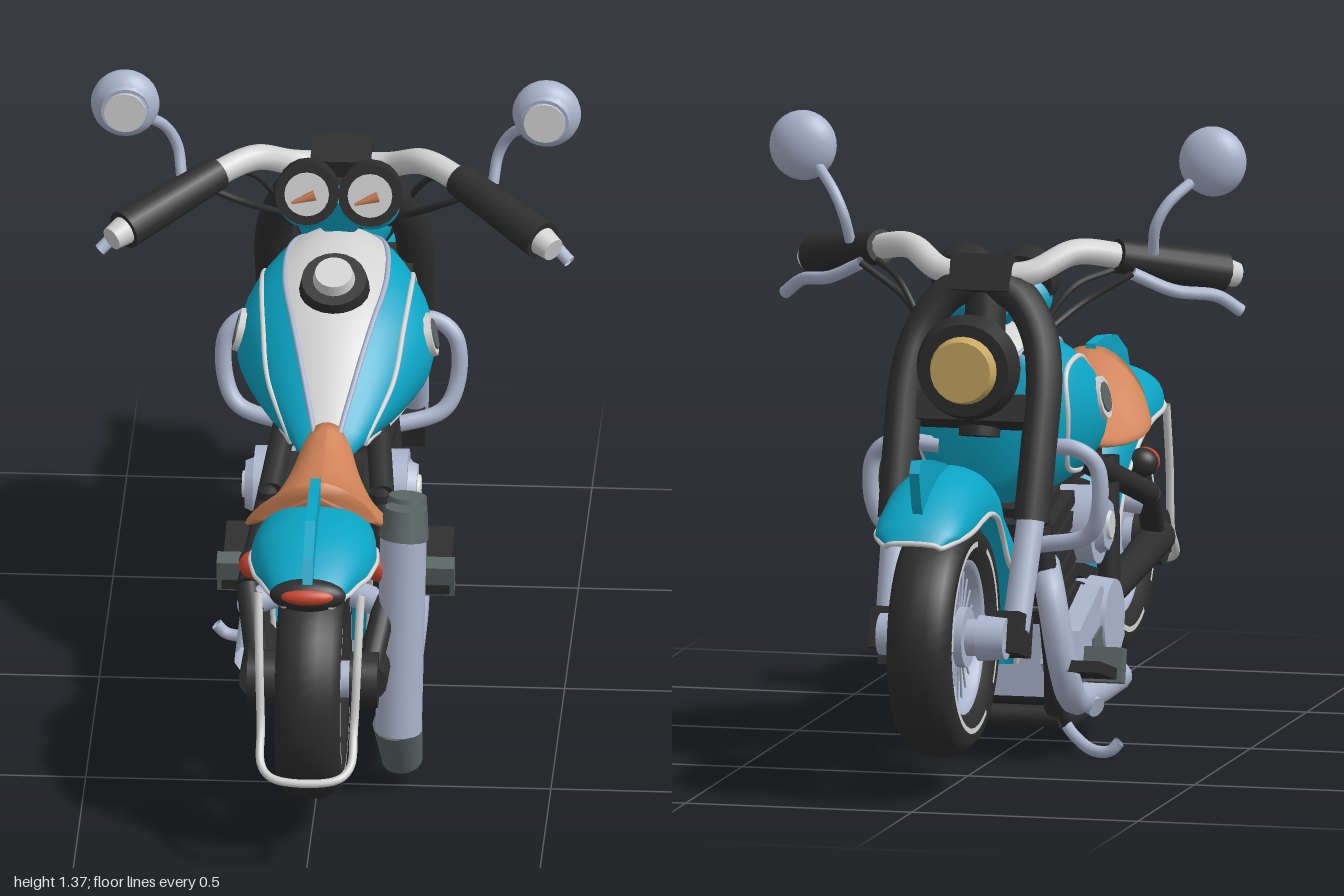
import * as THREE from 'three';

const V = (x, y, z) => new THREE.Vector3(x, y, z);

export function createModel() {
  const root = new THREE.Group();
  root.name = 'motorcycle';
  const mat = (name, color) => {
    const m = new THREE.MeshStandardMaterial({ color, side: THREE.DoubleSide });
    m.name = name;
    return m;
  };
  const teal = mat('teal paint', 0x0ba4c4), black = mat('black', 0x2e2e2e), silver = mat('silver', 0xaab4cc),
    white = mat('light grey', 0xd2d2d2), leather = mat('tan leather', 0xcf8257), grey = mat('dark grey', 0x5a6664),
    red = mat('red', 0xc8442e), amber = mat('yellow lens', 0xc8a862);

  // ---- helpers ----
  const add = (name, geo, m, parent = root) => {
    const mesh = new THREE.Mesh(geo, m);
    mesh.name = name;
    parent.add(mesh);
    return mesh;
  };
  const rod = (name, m, a, b, r0, r1 = r0, sides = 16) => {
    const d = b.clone().sub(a);
    const mesh = add(name, new THREE.CylinderGeometry(r1, r0, d.length(), sides), m);
    mesh.position.copy(a).addScaledVector(d, 0.5);
    mesh.quaternion.setFromUnitVectors(V(0, 1, 0), d.normalize());
    return mesh;
  };
  const tube = (name, m, pts, r, closed = false) => {
    const c = new THREE.CatmullRomCurve3(pts.map(p => (p.isVector3 ? p : V(...p))), closed, 'centripetal');
    return add(name, new THREE.TubeGeometry(c, pts.length * 8, r, 10, closed), m);
  };
  const box = (name, m, size, pos, rx = 0) => {
    const mesh = add(name, new THREE.BoxGeometry(...size), m);
    mesh.position.set(...pos);
    mesh.rotation.x = rx;
    return mesh;
  };
  const ball = (name, m, pos, size) => {
    const mesh = add(name, new THREE.SphereGeometry(1, 24, 16), m);
    mesh.position.set(...pos);
    mesh.scale.set(...size);
    return mesh;
  };
  // Plate drawn in the (z, y) plane and given thickness along x
  const sidePlate = (name, m, pts, x, depth) => {
    const g = new THREE.ExtrudeGeometry(new THREE.Shape(pts.map(p => new THREE.Vector2(...p))), { depth, bevelEnabled: false });
    return add(name, g.translate(0, 0, -depth / 2).rotateY(-Math.PI / 2).translate(x, 0, 0), m);
  };
  // Grid surface from a rule f(u, v)
  const surface = (name, m, f, nu, nv) => {
    const pos = [], idx = [];
    for (let i = 0; i <= nu; i++) for (let j = 0; j <= nv; j++) pos.push(...f(i / nu, j / nv).toArray());
    for (let i = 0; i < nu; i++) for (let j = 0; j < nv; j++) {
      const a = i * (nv + 1) + j, b = a + nv + 1;
      idx.push(a, a + 1, b, a + 1, b + 1, b);
    }
    const g = new THREE.BufferGeometry();
    g.setAttribute('position', new THREE.Float32BufferAttribute(pos, 3));
    g.setIndex(idx);
    g.computeVertexNormals();
    return add(name, g, m);
  };
  const sides = [-1, 1];

  // ---- wheels ----
  const wheel = (name, z) => {
    const g = new THREE.Group();
    g.name = name;
    g.position.set(0, 0.335, z);
    root.add(g);
    const lathe = pts => new THREE.LatheGeometry(pts.map(p => new THREE.Vector2(...p)), 48).rotateZ(Math.PI / 2);
    add('tire', lathe([[0.165, -0.045], [0.19, -0.065], [0.225, -0.07], [0.247, -0.05], [0.258, -0.02], [0.258, 0.02],
      [0.247, 0.05], [0.225, 0.07], [0.19, 0.065], [0.165, 0.045]]), black, g);
    add('rim', lathe([[0.167, -0.05], [0.15, -0.045], [0.143, 0], [0.15, 0.045], [0.167, 0.05]]), silver, g);
    add('hub', new THREE.CylinderGeometry(0.04, 0.04, 0.17, 20).rotateZ(Math.PI / 2), silver, g);
    for (const s of sides) {
      add('hubFlange', new THREE.CylinderGeometry(0.065, 0.065, 0.02, 24).rotateZ(Math.PI / 2).translate(s * 0.045, 0, 0), silver, g);
      for (let k = 0; k < 3; k++)
        add('tireStripe', new THREE.RingGeometry(0.195, 0.207, 16, 1, k * 2.1, 1.7).rotateY(Math.PI / 2).translate(s * 0.07, 0, 0), white, g);
      for (let k = 0; k < 24; k++) {
        const spoke = new THREE.CylinderGeometry(0.0025, 0.0025, 0.1, 4).translate(0, 0.105, 0).rotateZ(s * 0.05);
        add('spoke', spoke.translate(s * 0.035, 0, 0).rotateX((k + s * 0.25) * Math.PI / 12), silver, g);
      }
    }
  };
  wheel('frontWheel', -0.717);
  wheel('rearWheel', 0.685);

  // ---- fenders: rows are angle from the outer tip, half width, skirt radius, crown radius ----
  const fender = (name, zc, dir, rows) => {
    const c1 = new THREE.CatmullRomCurve3(rows.map(r => V(r[1], r[2], r[3])));
    const at = (u, v) => {
      const p = c1.getPoint(u), i = Math.min(Math.floor(u * (rows.length - 1)), rows.length - 2);
      const a = THREE.MathUtils.degToRad(THREE.MathUtils.lerp(rows[i][0], rows[i + 1][0], u * (rows.length - 1) - i));
      const t = (v - 0.5) * Math.PI, r = p.y + (p.z - p.y) * Math.pow(Math.max(Math.cos(t), 0), 0.8);
      return V(p.x * Math.sin(t), 0.335 + r * Math.sin(a), zc + dir * r * Math.cos(a));
    };
    surface(name, teal, at, 36, 20);
    const edge = [];
    for (let i = 12; i >= 0; i--) edge.push(at(i / 12, 0));
    for (let j = 1; j < 6; j++) edge.push(at(0, j / 6));
    for (let i = 0; i <= 12; i++) edge.push(at(i / 12, 1));
    tube(name + 'Trim', white, edge, 0.006);
  };
  fender('frontFender', -0.717, -1, [[41, 0.06, 0.36, 0.375], [48, 0.095, 0.33, 0.38], [65, 0.105, 0.285, 0.375],
    [90, 0.105, 0.27, 0.37], [120, 0.1, 0.25, 0.365], [150, 0.1, 0.25, 0.365], [180, 0.095, 0.28, 0.365], [198, 0.08, 0.34, 0.37]]);
  fender('rearFender', 0.685, 1, [[52, 0.05, 0.345, 0.36], [60, 0.085, 0.32, 0.365], [75, 0.12, 0.285, 0.37],
    [92, 0.135, 0.275, 0.375], [120, 0.125, 0.28, 0.385], [150, 0.11, 0.28, 0.4], [193, 0.1, 0.29, 0.41]]);
  sidePlate('frontFenderFin', teal, [[-0.64, 0.67], [-0.74, 0.715], [-0.85, 0.74], [-0.96, 0.755], [-0.98, 0.73], [-0.96, 0.66], [-0.93, 0.61], [-0.75, 0.68]], 0, 0.022);
  sidePlate('rearFenderFin', teal, [[0.58, 0.68], [0.59, 0.765], [0.68, 0.768], [0.78, 0.755], [0.87, 0.71], [0.9, 0.66], [0.88, 0.62], [0.75, 0.68]], 0, 0.022);

  // ---- tank: evenly spaced sections of half width, middle height, half height ----
  const tankCurve = new THREE.CatmullRomCurve3([V(0.12, 0.765, 0.15), V(0.175, 0.75, 0.195), V(0.205, 0.745, 0.195),
    V(0.212, 0.735, 0.18), V(0.19, 0.725, 0.155), V(0.155, 0.705, 0.12), V(0.11, 0.68, 0.07), V(0.06, 0.645, 0.03)]);
  const tankAt = (u, phi) => {
    const p = tankCurve.getPoint(u);
    return V(p.x * Math.sin(phi), p.y + p.z * Math.cos(phi), -0.36 + 0.56 * u);
  };
  const stripe = u => 0.62 - 0.2 * u;
  const tankStrip = (name, m, p0, p1, n) => surface(name, m, (u, v) => {
    const k = THREE.MathUtils.clamp((u * 26 - 1) / 24, 0, 1);
    const p = tankAt(k, THREE.MathUtils.lerp(p0(k), p1(k), v));
    if (u === 0) p.set(0, 0.765, -0.37);
    if (u === 1) p.set(0, 0.645, 0.21);
    return p;
  }, 26, n);
  tankStrip('tankStripe', white, u => -stripe(u), stripe, 8);
  tankStrip('tankBody', teal, stripe, u => Math.PI * 2 - stripe(u), 32);
  for (const s of sides) {
    const line = [];
    for (let i = 0; i <= 12; i++) line.push(tankAt(i / 12, s * stripe(i / 12)));
    tube('stripeTrim', silver, line, 0.006);
    const onTank = ([z, y]) => {
      const p = tankCurve.getPoint((z + 0.36) / 0.56);
      return V(s * p.x * Math.sqrt(Math.max(0, 1 - ((y - p.y) / p.z) ** 2)), y, z);
    };
    tube('tankSideTrim', white, [[0.16, 0.645], [0.06, 0.74], [-0.05, 0.825], [-0.18, 0.865], [-0.27, 0.84], [-0.29, 0.75],
      [-0.25, 0.64], [-0.15, 0.615], [0, 0.62], [0.1, 0.635]].map(onTank), 0.006, true);
    rod('badgeRim', white, V(s * 0.185, 0.765, -0.13), V(s * 0.212, 0.771, -0.13), 0.05, 0.047, 10);
    rod('badge', grey, V(s * 0.19, 0.766, -0.13), V(s * 0.215, 0.772, -0.13), 0.034, 0.034, 10);
  }
  const capAt = t => V(0, 0.87 + 0.88 * t, -0.1 + 0.47 * t);
  rod('fillerBase', black, capAt(0), capAt(0.06), 0.08, 0.07, 20);
  rod('fillerCap', white, capAt(0.05), capAt(0.085), 0.048, 0.04, 20);

  // ---- seat: half width, top height, arch drop ----
  const seatCurve = new THREE.CatmullRomCurve3([V(0.05, 0.7, 0.02), V(0.075, 0.67, 0.03), V(0.105, 0.655, 0.035),
    V(0.14, 0.668, 0.05), V(0.158, 0.712, 0.075), V(0.125, 0.758, 0.07)]);
  surface('seat', leather, (u, v) => {
    const k = THREE.MathUtils.clamp((u * 22 - 1) / 20, 0, 1), p = seatCurve.getPoint(k);
    const open = u === 0 || u === 1 ? 0 : 1, a = v * Math.PI * 2, x = Math.sin(a) * open;
    return V(x * p.x, p.y - 0.03 + 0.033 * Math.cos(a) * open - p.z * x * x, 0.18 + 0.42 * k - 0.03 * k * x * x);
  }, 22, 28);
  box('seatBase', black, [0.15, 0.05, 0.26], [0, 0.565, 0.26]);

  // ---- tail light, signals and rear guard ----
  ball('tailLightHousing', black, [0, 0.628, 0.885], [0.082, 0.036, 0.034]);
  ball('tailLight', red, [0, 0.633, 0.898], [0.062, 0.021, 0.027]);
  for (const s of sides) {
    rod('signalStem', black, V(s * 0.08, 0.525, 0.5), V(s * 0.14, 0.525, 0.5), 0.016);
    ball('signalShell', black, [s * 0.135, 0.525, 0.505], [0.035, 0.032, 0.03]);
    ball('turnSignal', red, [s * 0.135, 0.525, 0.525], [0.034, 0.031, 0.03]);
  }
  tube('rearGuard', white, [[-0.11, 0.6, 0.82], [-0.105, 0.45, 0.87], [-0.1, 0.32, 0.9], [-0.095, 0.255, 0.96], [-0.065, 0.238, 0.99],
    [0.065, 0.238, 0.99], [0.095, 0.255, 0.96], [0.1, 0.32, 0.9], [0.105, 0.45, 0.87], [0.11, 0.6, 0.82]], 0.009);

  // ---- frame, fork, bars and controls on both sides ----
  for (const s of sides) {
    tube('cradleTube', black, [[s * 0.05, 0.75, -0.33], [s * 0.09, 0.6, -0.29], [s * 0.125, 0.2, -0.23], [s * 0.115, 0.085, -0.17],
      [s * 0.12, 0.075, 0.12], [s * 0.125, 0.13, 0.22], [s * 0.12, 0.58, 0.26]], 0.025);
    rod('seatStay', black, V(s * 0.15, 0.46, 0.5), V(s * 0.1, 0.62, 0.02), 0.026);
    rod('shock', black, V(s * 0.15, 0.46, 0.5), V(s * 0.12, 0.35, 0.66), 0.026);
    rod('swingArm', black, V(s * 0.12, 0.335, 0.7), V(s * 0.13, 0.28, 0.22), 0.04, 0.03);
    rod('rearAxleCap', black, V(s * 0.08, 0.335, 0.685), V(s * 0.14, 0.335, 0.685), 0.06);
    tube('forkUpper', black, [[s * 0.03, 1.05, -0.355], [s * 0.085, 1.015, -0.365], [s * 0.13, 0.945, -0.39], [s * 0.15, 0.86, -0.427],
      [s * 0.152, 0.7, -0.49], [s * 0.15, 0.56, -0.54]], 0.04);
    rod('forkLower', silver, V(s * 0.15, 0.6, -0.525), V(s * 0.14, 0.34, -0.64), 0.03);
    box('axleClamp', black, [0.05, 0.09, 0.13], [s * 0.14, 0.335, -0.655], 0.25);
    rod('axleCap', silver, V(s * 0.08, 0.335, -0.717), V(s * 0.14, 0.335, -0.717), 0.05, 0.045);
    tube('crashBar', silver, [[s * 0.1, 0.69, -0.35], [s * 0.2, 0.695, -0.36], [s * 0.245, 0.66, -0.35], [s * 0.25, 0.56, -0.34],
      [s * 0.22, 0.5, -0.32], [s * 0.1, 0.47, -0.29]], 0.018);
    tube('handlebar', white, [[0, 1.06, -0.36], [s * 0.1, 1.07, -0.34], [s * 0.18, 1.108, -0.28], [s * 0.26, 1.095, -0.22], [s * 0.36, 1.06, -0.12]], 0.028);
    rod('grip', black, V(s * 0.26, 1.095, -0.225), V(s * 0.45, 1.04, -0.045), 0.037, 0.044);
    rod('gripEnd', white, V(s * 0.44, 1.043, -0.053), V(s * 0.475, 1.03, -0.02), 0.034, 0.026);
    tube('lever', silver, [[s * 0.3, 1.06, -0.24], [s * 0.38, 1.02, -0.2], [s * 0.46, 1.0, -0.13], [s * 0.505, 0.965, -0.1]], 0.014);
    tube('mirrorStem', silver, [[s * 0.335, 1.1, -0.2], [s * 0.345, 1.16, -0.22], [s * 0.37, 1.21, -0.21], [s * 0.42, 1.26, -0.16]], 0.012);
    ball('mirrorShell', silver, [s * 0.453, 1.295, -0.145], [0.074, 0.076, 0.048]);
    rod('mirrorRim', silver, V(s * 0.453, 1.295, -0.14), V(s * 0.451, 1.293, -0.108), 0.072, 0.052, 20);
    rod('mirrorGlass', white, V(s * 0.451, 1.293, -0.102), V(s * 0.451, 1.293, -0.096), 0.045, 0.045, 20);
    tube('cable', black, [[s * 0.3, 1.06, -0.24], [s * 0.2, 1.0, -0.28], [s * 0.13, 0.94, -0.36]], 0.008);
    tube('brakeCable', black, [[s * 0.26, 1.07, -0.26], [s * 0.19, 1.04, -0.34], [s * 0.1, 0.9, -0.4]], 0.007);
    // Gauges
    const a = V(s * 0.068, 1.035, -0.29), d = V(0, 0.2, 0.98), at = t => a.clone().addScaledVector(d, t);
    ball('gaugeCup', teal, [s * 0.068, 1.005, -0.275], [0.062, 0.055, 0.045]);
    rod('gaugeRing', black, at(0), at(0.06), 0.066, 0.069, 20);
    rod('gaugeFace', white, at(0.055), at(0.064), 0.048, 0.048, 20);
    rod('gaugeNeedle', leather, at(0.067).add(V(-0.032, -0.018, 0.004)), at(0.067).add(V(0.018, 0, 0)), 0.003, 0.012, 6);
    // Foot pegs
    box('footboard', black, [0.09, 0.025, 0.2], [s * 0.2, 0.19, -0.22], 0.25);
    box('footboardHeel', grey, [0.1, 0.075, 0.04], [s * 0.205, 0.19, -0.14], 0.25);
    rod('footboardArm', black, V(s * 0.1, 0.17, -0.08), V(s * 0.17, 0.19, -0.26), 0.018);
    rod('stayBracket', silver, V(s * 0.08, 0.45, 0.5), V(s * 0.13, 0.44, 0.52), 0.03);
  }
  box('topClamp', black, [0.13, 0.08, 0.09], [0, 1.065, -0.36], 0.3);
  box('lowerClamp', black, [0.3, 0.06, 0.1], [0, 0.78, -0.43], 0.35);
  rod('steeringNeck', black, V(0, 1.05, -0.33), V(0, 0.72, -0.4), 0.045);
  rod('gaugeBracket', teal, V(0, 1.0, -0.3), V(0, 0.98, -0.25), 0.05);
  tube('brakePedal', black, [[0.17, 0.17, -0.22], [0.17, 0.2, -0.36], [0.16, 0.15, -0.39], [0.15, 0.1, -0.35]], 0.012);

  // ---- headlight ----
  ball('headlightShell', teal, [0, 0.885, -0.48], [0.105, 0.11, 0.075]);
  rod('headlightRing', black, V(0, 0.885, -0.495), V(0, 0.885, -0.542), 0.115, 0.1, 28);
  rod('headlightLens', amber, V(0, 0.885, -0.535), V(0, 0.885, -0.57), 0.076, 0.066, 24);

  // ---- engine ----
  box('crankcase', silver, [0.22, 0.2, 0.38], [0, 0.22, 0.02]);
  for (const z of [-0.18, 0.13])
    rod('cradleCrossTube', black, V(-0.125, 0.08, z), V(0.125, 0.08, z), 0.024);
  for (const t of sides) for (let k = 0; k < 6; k++) {
    const y = 0.315 + k * 0.04, w = k === 5 ? 0.2 : 0.17;
    box('coolingFin', black, [0.25, 0.03, w], [0, y, t * (0.08 + (y - 0.3) * 0.24) - 0.02], t * 0.24);
    if (k === 3) box('cylinderCore', black, [0.2, 0.24, 0.14], [0, y, t * 0.105 - 0.02], t * 0.24);
  }
  for (const s of sides) {
    rod('airCleaner', silver, V(s * 0.08, 0.47, 0.01), V(s * 0.165, 0.47, 0.01), 0.085, 0.085, 20);
    rod('airCleanerRing', silver, V(s * 0.16, 0.47, 0.01), V(s * 0.185, 0.47, 0.01), 0.065, 0.055, 8);
    rod('airCleanerCap', white, V(s * 0.18, 0.47, 0.01), V(s * 0.192, 0.47, 0.01), 0.034, 0.03, 8);
    sidePlate('engineCover', silver, [[0.21, 0.2], [0.18, 0.29], [0.06, 0.31], [0, 0.34], [-0.08, 0.31], [-0.19, 0.27], [-0.22, 0.2], [-0.15, 0.15], [0.14, 0.15]], s * 0.13, 0.08);
    sidePlate('coverInset', grey, [[0.11, 0.2], [0.1, 0.235], [0, 0.255], [-0.08, 0.235], [-0.09, 0.2], [-0.07, 0.188], [0.08, 0.188]], s * 0.171, 0.008);
  }
  rod('primaryCover', silver, V(-0.1, 0.25, 0.08), V(-0.18, 0.25, 0.08), 0.1, 0.09, 24);
  rod('starterMotor', silver, V(0.14, 0.22, 0.38), V(0.14, 0.19, 0.2), 0.04);

  // ---- exhaust ----
  for (const s of sides)
    tube('exhaustPipe', silver, [[s * 0.1, 0.42, -0.22], [s * 0.13, 0.37, -0.29], [s * 0.16, 0.2, -0.29], [s * 0.165, 0.13, -0.23],
      [s * 0.17, 0.12, -0.1], [s * 0.17, 0.12, s > 0 ? 0.43 : 0.15]], 0.032);
  for (const [z, r, lo] of [[0.53, 0.05, 0.15], [0.47, 0.045, 0.22]]) {
    rod('muffler', silver, V(0.175, lo, z + 0.015), V(0.185, 0.62, z - 0.005), r);
    rod('mufflerTop', grey, V(0.185, 0.6, z - 0.004), V(0.19, 0.665, z - 0.015), r + 0.004, r - 0.004);
  }
  rod('mufflerElbow', silver, V(0.17, 0.13, 0.4), V(0.175, 0.19, 0.5), 0.042);
  rod('mufflerTip', grey, V(0.172, 0.16, 0.53), V(0.18, 0.055, 0.49), 0.054, 0.044);

  // ---- side stand ----
  tube('sideStand', silver, [[-0.1, 0.09, -0.1], [-0.14, 0.045, -0.15], [-0.2, 0.012, -0.19], [-0.24, 0.014, -0.2], [-0.26, 0.034, -0.2]], 0.013);
  rod('shiftLinkage', silver, V(-0.1, 0.14, -0.1), V(-0.2, 0.1, -0.16), 0.022);

  return root;
}
